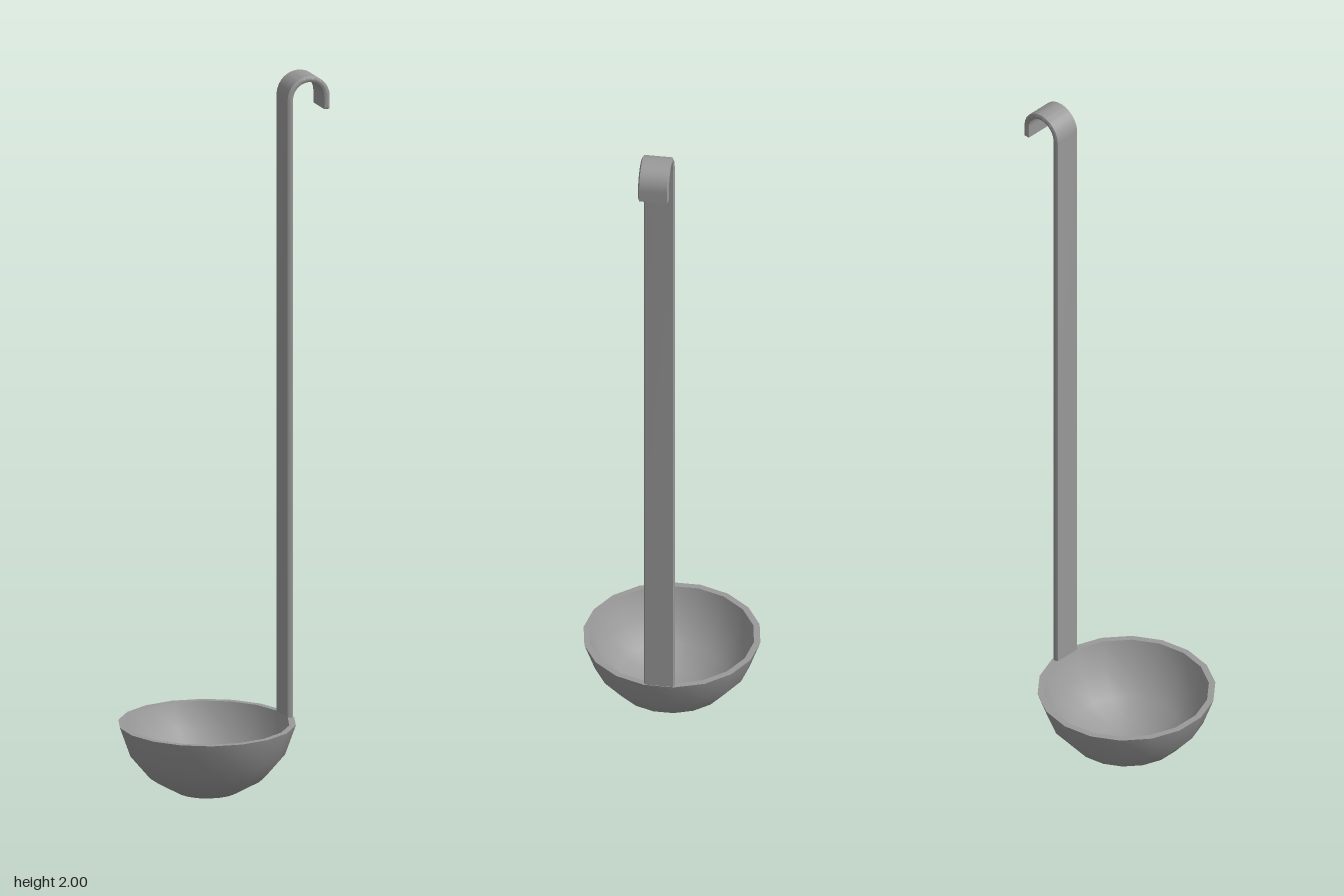
import * as THREE from 'three';
import { toCreasedNormals } from 'three/addons/utils/BufferGeometryUtils.js';

const material = new THREE.MeshStandardMaterial({ color: 0x999999 });

function addPart(group, name, geometry) {
  const mesh = new THREE.Mesh(toCreasedNormals(geometry, 0.6), material);
  mesh.name = name;
  group.add(mesh);
  return mesh;
}

// Thick-walled bowl: two concentric arcs joined by a flat rim
function bowlGeometry() {
  const outer = 0.246, inner = 0.228, rimY = 0.205, rings = 4;
  const arc = (radius) => Array.from({ length: rings + 1 }, (_, i) => {
    const a = THREE.MathUtils.degToRad(20 * i);
    const y = i === rings ? rimY : outer - radius * Math.cos(a);
    return new THREE.Vector2(radius * Math.sin(a), y);
  });
  return new THREE.LatheGeometry([...arc(outer), ...arc(inner).reverse()], 18);
}

// Strap running up from the rim and curling over into a hook, its sides softened by a wide bevel
function handleGeometry() {
  const cx = 0.23, cy = 1.938, ro = 0.062, ri = 0.046;
  const bottom = 0.2, tip = 1.903, width = 0.084, bevel = 0.004;
  const shape = new THREE.Shape();
  shape.moveTo(cx - ro, bottom);
  shape.lineTo(cx - ri, bottom);
  shape.lineTo(cx - ri, cy);
  shape.absarc(cx, cy, ri, Math.PI, 0, true);
  shape.lineTo(cx + ri, tip);
  shape.lineTo(cx + ro, tip);
  shape.lineTo(cx + ro, cy);
  shape.absarc(cx, cy, ro, 0, Math.PI, false);
  shape.closePath();
  const geometry = new THREE.ExtrudeGeometry(shape, {
    depth: width - 2 * bevel, curveSegments: 14,
    bevelEnabled: true, bevelSegments: 1,
    bevelThickness: bevel, bevelSize: 0.007, bevelOffset: -0.007,
  });
  return geometry.translate(0, 0, bevel - width / 2);
}

export function createModel() {
  const group = new THREE.Group();
  group.name = 'ladle';
  addPart(group, 'bowl', bowlGeometry()).position.x = -0.053;
  addPart(group, 'hookedHandle', handleGeometry());
  return group;
}
